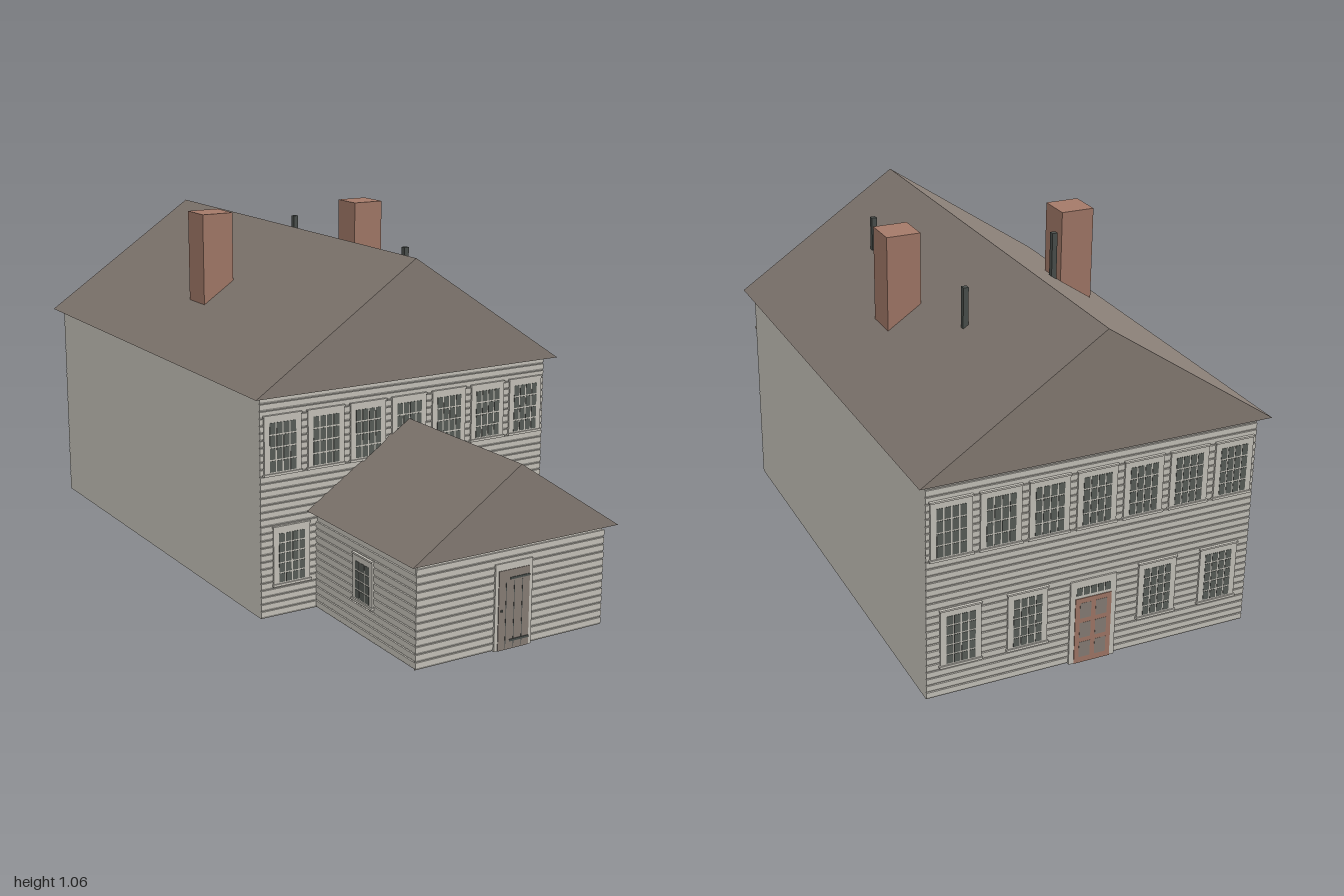
import * as THREE from 'three';

const mat = (name, color, side = THREE.FrontSide) => {
  const m = new THREE.MeshStandardMaterial({ color, side });
  m.name = name;
  return m;
};

export function createModel() {
  const wall = mat('wall paint', 0xcac7be, THREE.DoubleSide);
  const roof = mat('roof shingle', 0x877d75);
  const brick = mat('brick red', 0xa47a69);
  const glass = mat('window glass', 0x5a5f5a);
  const iron = mat('dark iron', 0x4b504d);
  const wood = mat('door wood', 0x8a8078);

  const house = new THREE.Group();
  house.name = 'house';

  const add = (parent, name, geo, material, x = 0, y = 0, z = 0) => {
    const m = new THREE.Mesh(geo, material);
    m.name = name;
    m.position.set(x, y, z);
    parent.add(m);
    return m;
  };
  // Box given by its x, y and z ranges
  const box = (parent, name, material, x0, x1, y0, y1, z0, z1) =>
    add(parent, name, new THREE.BoxGeometry(x1 - x0, y1 - y0, z1 - z0), material,
      (x0 + x1) / 2, (y0 + y1) / 2, (z0 + z1) / 2);

  // Wall shell without a floor
  const shell = (name, hw, h, z0, z1) => {
    const m = box(house, name, wall, -hw, hw, 0, h, z0, z1);
    const idx = Array.from(m.geometry.index.array);
    idx.splice(18, 6);
    m.geometry.setIndex(idx);
    m.geometry.clearGroups();
  };

  // Solid gable roof
  const gable = (name, hw, y0, y1, z0, z1) => {
    const s = new THREE.Shape();
    s.moveTo(-hw, y0).lineTo(hw, y0).lineTo(0, y1).closePath();
    add(house, name, new THREE.ExtrudeGeometry(s, { depth: z1 - z0, bevelEnabled: false }), roof, 0, 0, z0);
  };

  // A wall face to decorate: local +z points out of the wall
  const facade = (name, x, z, turn) => {
    const g = new THREE.Group();
    g.name = name;
    g.position.set(x, 0, z);
    g.rotation.y = turn;
    house.add(g);
    return g;
  };

  // Clapboards with bevelled lower edges
  const siding = (parent, width, height) => {
    const n = Math.round(height / 0.0212), p = height / n, d = 0.005;
    const s = new THREE.Shape();
    s.moveTo(-0.002, 0);
    for (let i = 0; i < n; i++) {
      s.lineTo(0.0005, i * p);
      s.lineTo(d, i * p + 0.007);
      s.lineTo(d, (i + 1) * p);
    }
    s.lineTo(-0.002, height);
    s.closePath();
    const geo = new THREE.ExtrudeGeometry(s, { depth: width, bevelEnabled: false });
    geo.translate(0, 0, -width / 2).rotateY(-Math.PI / 2);
    add(parent, 'clapboards', geo, wall);
  };

  // Grid of thin plates
  const grid = (parent, name, material, x0, x1, y0, y1, cols, rows, gap, z) => {
    const w = (x1 - x0 + gap) / cols, h = (y1 - y0 + gap) / rows;
    for (let c = 0; c < cols; c++)
      for (let r = 0; r < rows; r++)
        box(parent, name, material, x0 + c * w, x0 + (c + 1) * w - gap,
          y0 + r * h, y0 + (r + 1) * h - gap, z - 0.002, z);
  };

  // Framed window with sill and panes
  const windowUnit = (parent, x, y0, y1, w, cols, rows) => {
    const g = new THREE.Group();
    g.name = 'window';
    g.position.x = x;
    parent.add(g);
    const hw = w / 2, gw = hw * 0.71;
    box(g, 'windowFrame', wall, -hw, hw, y0, y1, 0, 0.01);
    box(g, 'windowSill', wall, -hw - 0.003, hw + 0.003, y0 - 0.002, y0 + 0.005, 0, 0.014);
    box(g, 'windowHead', wall, -hw - 0.002, hw + 0.002, y1 - 0.005, y1, 0, 0.013);
    grid(g, 'windowPane', glass, -gw, gw, y0 + 0.009, y1 - 0.022, cols, rows, 0.004, 0.011);
  };

  // Main block and porch
  shell('mainWalls', 0.49, 0.649, -0.967, 0.455);
  shell('porchWalls', 0.307, 0.296, 0.456, 0.971);
  gable('mainRoof', 0.517, 0.65, 0.997, -1, 0.49);
  gable('porchRoof', 0.34, 0.297, 0.524, 0.448, 1);

  const front = facade('mainFront', 0, 0.455, 0);
  const back = facade('mainBack', 0, -0.967, Math.PI);
  for (const f of [front, back]) {
    siding(f, 0.98, 0.648);
    for (let i = -3; i <= 3; i++) windowUnit(f, i * 0.14, 0.422, 0.595, 0.118, 4, 4);
    for (const s of [-1, 1]) windowUnit(f, s * 0.393, 0.094, 0.27, 0.118, 4, 5);
  }
  for (const s of [-1, 1]) windowUnit(back, s * 0.198, 0.094, 0.27, 0.118, 4, 5);

  const porchFront = facade('porchFront', 0, 0.971, 0);
  siding(porchFront, 0.624, 0.28);
  for (const s of [-1, 1]) {
    const side = facade('porchSide', s * 0.307, 0.7135, s * Math.PI / 2);
    siding(side, 0.515, 0.262);
    windowUnit(side, s * -0.005, 0.1, 0.238, 0.1, 3, 4);
  }

  // Plank door with strap hinges
  box(porchFront, 'doorFrame', wall, -0.062, 0.062, 0, 0.248, 0, 0.01);
  box(porchFront, 'plankDoor', wood, -0.051, 0.051, 0, 0.228, 0.008, 0.012);
  for (const x of [-0.027, 0, 0.027])
    box(porchFront, 'plankSeam', iron, x - 0.001, x + 0.001, 0.004, 0.195, 0.01, 0.0125);
  for (const y of [0.025, 0.203])
    box(porchFront, 'strapHinge', iron, -0.014, 0.051, y - 0.003, y + 0.003, 0.01, 0.014);
  box(porchFront, 'doorLatch', iron, -0.045, -0.039, 0.112, 0.117, 0.01, 0.015);

  // Panelled back door with transom lights
  box(back, 'doorFrame', wall, -0.07, 0.07, 0, 0.26, 0, 0.01);
  box(back, 'panelDoor', brick, -0.055, 0.055, 0, 0.205, 0.008, 0.012);
  grid(back, 'doorPanel', wood, -0.041, 0.041, 0.018, 0.19, 2, 3, 0.014, 0.0125);
  grid(back, 'transomPane', glass, -0.052, 0.052, 0.214, 0.238, 5, 1, 0.004, 0.011);

  // Chimneys and vent pipes
  for (const s of [-1, 1])
    box(house, 'chimney', brick, s * 0.274 - 0.051, s * 0.274 + 0.051, 0.75, 1.06, -0.307, -0.204);
  for (const [x, z, top] of [[-0.197, -0.307, 1.003], [0.195, -0.55, 0.98], [0.195, 0.137, 0.965]])
    box(house, 'ventPipe', iron, x - 0.008, x + 0.008, 0.84, top, z - 0.008, z + 0.008);

  return house;
}
